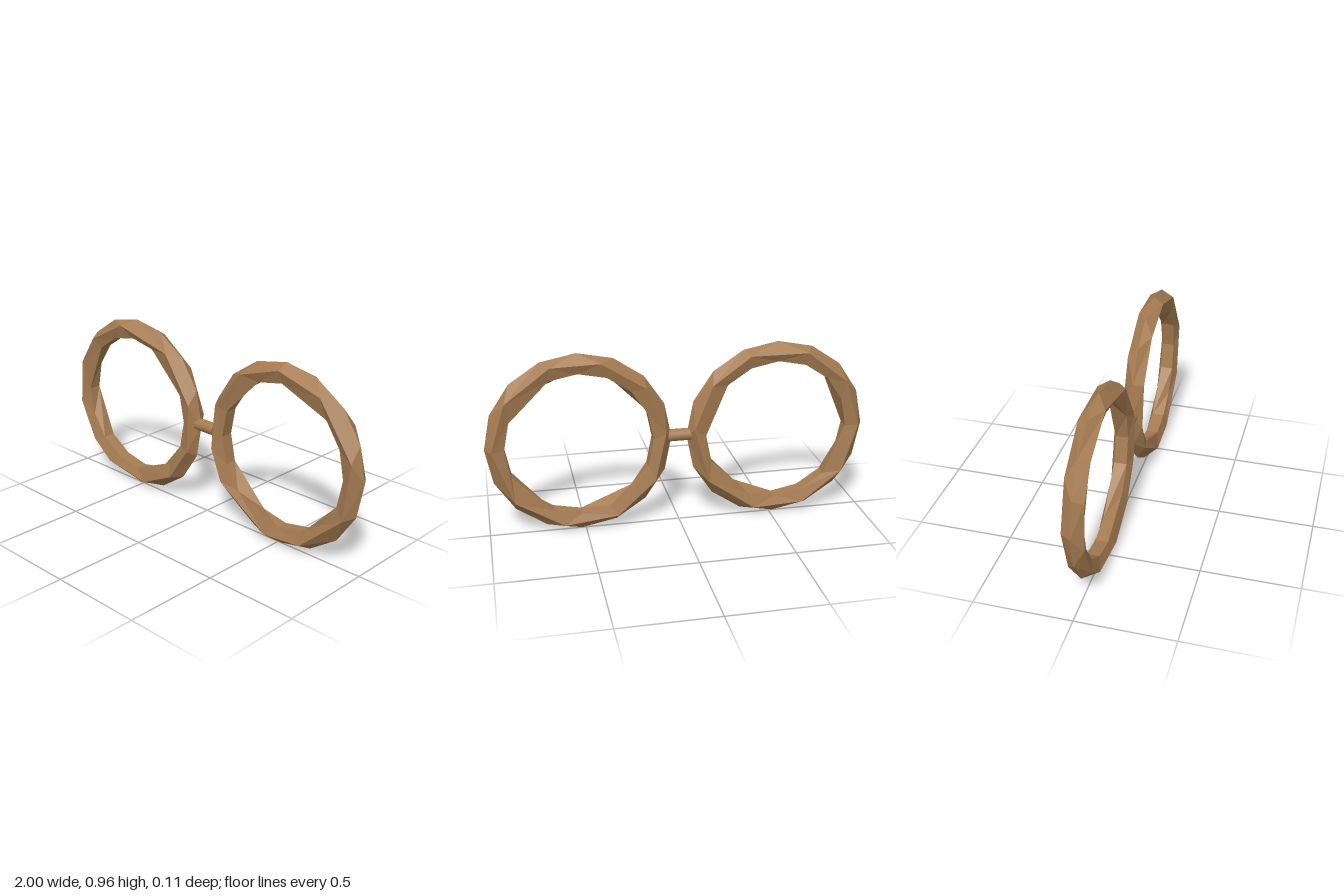
import * as THREE from 'three';

const CENTRE_X = 0.52, CENTRE_Y = 0.483;

// Evenly spaced angles in degrees, leaving out some steps for a hand-cut look
const steps = (skip = []) =>
  Array.from({ length: 16 }, (_, i) => i).filter((i) => !skip.includes(i)).map((i) => i * 22.5);

// Each ring has five ridges: outer rim, front, inner front, inner back, back
const ridge = (radius, z, angles) => {
  const sorted = angles.map((a) => (a + 360) % 360).sort((a, b) => a - b);
  sorted.push(sorted[0] + 360);
  return sorted.map((a) => {
    const t = THREE.MathUtils.degToRad(a);
    return { a, p: [Math.cos(t) * radius, Math.sin(t) * radius, z] };
  });
};

// Join two ridges that may have different numbers of points
function zip(A, B, out) {
  let i = 0, j = 0;
  while (i < A.length - 1 || j < B.length - 1) {
    const stepA = j === B.length - 1 || (i < A.length - 1 && A[i + 1].a <= B[j + 1].a);
    if (stepA) {
      out.push(...A[i].p, ...A[i + 1].p, ...B[j].p);
      i++;
    } else {
      out.push(...A[i].p, ...B[j + 1].p, ...B[j].p);
      j++;
    }
  }
}

function facetedRing({ front, back, innerFrontSkip, innerBackSkip }) {
  const ridges = [
    ridge(0.48, 0, steps()),
    ridge(0.447, 0.053, front),
    ridge(0.381, 0.033, steps(innerFrontSkip)),
    ridge(0.381, -0.033, steps(innerBackSkip)),
    ridge(0.447, -0.053, back),
  ];
  const positions = [];
  ridges.forEach((r, k) => zip(r, ridges[(k + 1) % ridges.length], positions));
  const geometry = new THREE.BufferGeometry();
  geometry.setAttribute('position', new THREE.Float32BufferAttribute(positions, 3));
  geometry.computeVertexNormals();
  return geometry;
}

export function createModel() {
  const model = new THREE.Group();
  model.name = 'roundFrames';
  const wood = new THREE.MeshStandardMaterial({ color: 0xa67c52 });
  wood.name = 'warm brown';

  // Two rims with slightly different facets
  const rims = [
    {
      name: 'rightRim', x: -CENTRE_X,
      front: [14, 53, 100, 135, 159, 191, 221, 242, 280, 310, 340],
      back: [5, 38, 70, 110, 146, 180, 215, 250, 285, 325],
      innerFrontSkip: [2, 7, 13], innerBackSkip: [1, 9, 14],
    },
    {
      name: 'leftRim', x: CENTRE_X,
      front: [13, 57, 91, 124, 158, 190, 213, 261, 290, 333],
      back: [0, 34, 72, 105, 140, 175, 210, 245, 282, 320],
      innerFrontSkip: [3, 6, 11], innerBackSkip: [2, 10, 14],
    },
  ];
  for (const rim of rims) {
    const mesh = new THREE.Mesh(facetedRing(rim), wood);
    mesh.name = rim.name;
    mesh.position.set(rim.x, CENTRE_Y, 0);
    model.add(mesh);
  }

  // Short round bar between the rims
  const bridge = new THREE.Mesh(new THREE.CylinderGeometry(0.032, 0.032, 0.13, 12), wood);
  bridge.name = 'bridge';
  bridge.rotation.z = Math.PI / 2;
  bridge.position.set(-0.005, CENTRE_Y + 0.005, 0);
  model.add(bridge);

  return model;
}
